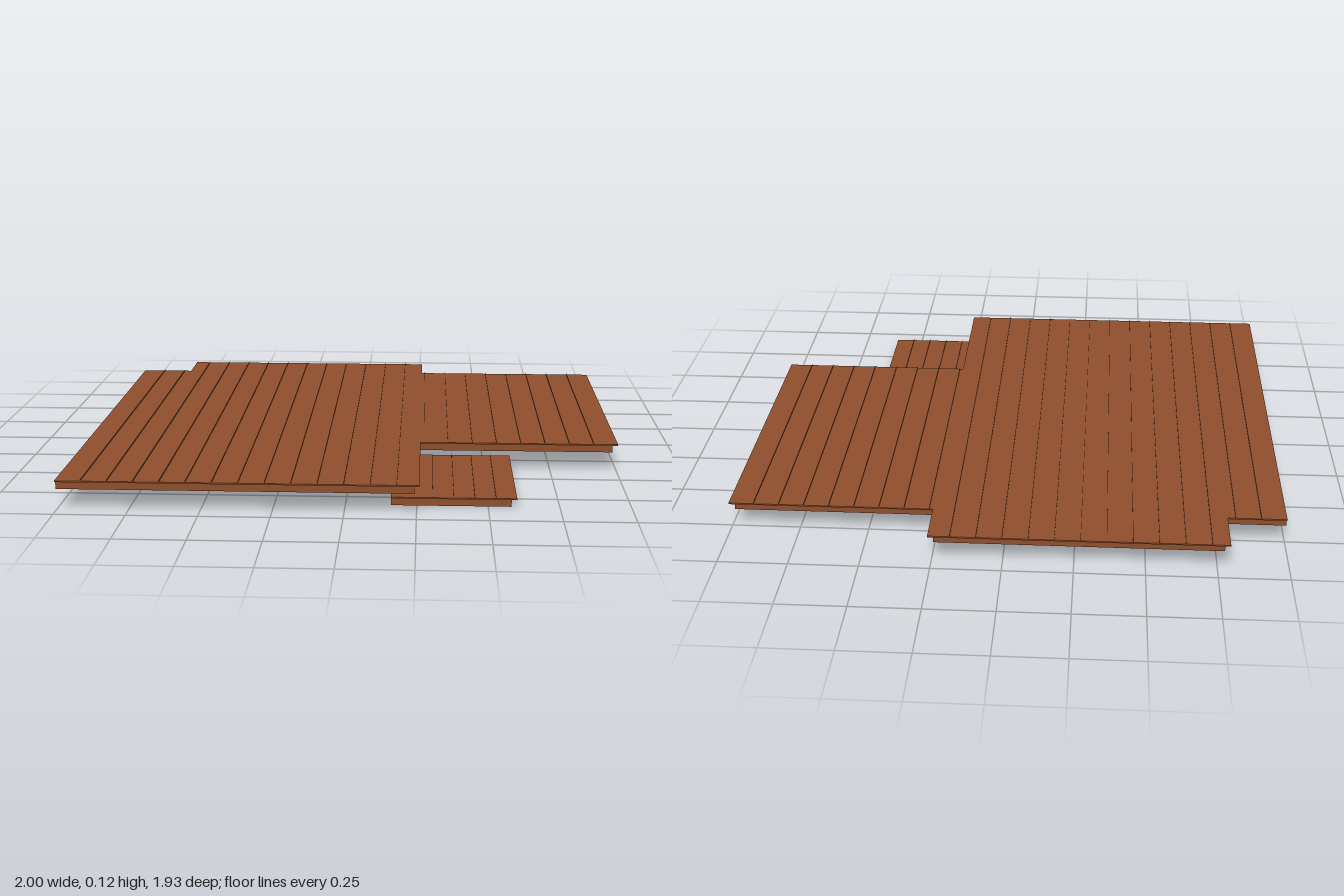
import * as THREE from 'three';

export function createModel() {
  const group = new THREE.Group();
  const brown = new THREE.MeshStandardMaterial({ color: 0x8e4e2d, side: THREE.DoubleSide });
  brown.name = 'brown metal';

  // Flat slab from a plan outline of [x, z] points, between two heights
  function slab(name, points, y0, y1) {
    const shape = new THREE.Shape(points.map(([x, z]) => new THREE.Vector2(x, -z)));
    const geo = new THREE.ExtrudeGeometry(shape, { depth: y1 - y0, bevelEnabled: false });
    geo.rotateX(-Math.PI / 2).translate(0, y0, 0);
    const mesh = new THREE.Mesh(geo, brown);
    mesh.name = name;
    group.add(mesh);
  }

  // Thin upright seams running along z
  function seams(name, x0, x1, pitch, y, zRange) {
    const set = new THREE.Group();
    set.name = name;
    for (let x = x0 + pitch; x < x1 - 0.01; x += pitch) {
      const [z0, z1] = zRange(x);
      const seam = new THREE.Mesh(new THREE.BoxGeometry(0.001, 0.005, z1 - z0), brown);
      seam.name = 'seam';
      seam.position.set(x, y + 0.0025, (z0 + z1) / 2);
      set.add(seam);
    }
    group.add(set);
  }

  // Main roof outline; o insets every edge except the flush one at -x
  const mainOutline = (o) => [
    [-1, 0.965 - o], [0.26 - o, 0.965 - o], [0.26 - o, 0.405 - o], [1 - o, 0.405 - o],
    [1 - o, -0.78 + o], [0.26 - o, -0.78 + o], [0.26 - o, -0.965 + o],
    [-0.79 + o, -0.965 + o], [-0.79 + o, -0.78 + o], [-1, -0.78 + o],
  ];
  slab('mainFascia', mainOutline(0.018), 0.075, 0.105);
  slab('mainRoofSheet', mainOutline(0), 0.105, 0.11);
  seams('mainSeams', -1, 1, 2 / 22, 0.11, (x) => [
    x > -0.79 && x < 0.26 ? -0.965 : -0.78,
    x < 0.26 ? 0.965 : 0.405,
  ]);

  // Lower porch roof, tucked under the inner corner of the main roof
  const porchOutline = (o) => [
    [0.16, 0.86 - o], [0.6 - o, 0.86 - o], [0.6 - o, 0.31], [0.16, 0.31],
  ];
  slab('porchFascia', porchOutline(0.018), 0, 0.03);
  slab('porchRoofSheet', porchOutline(0), 0.03, 0.035);
  seams('porchSeams', 0.16, 0.6, 0.44 / 6, 0.035, () => [0.31, 0.86]);

  return group;
}
